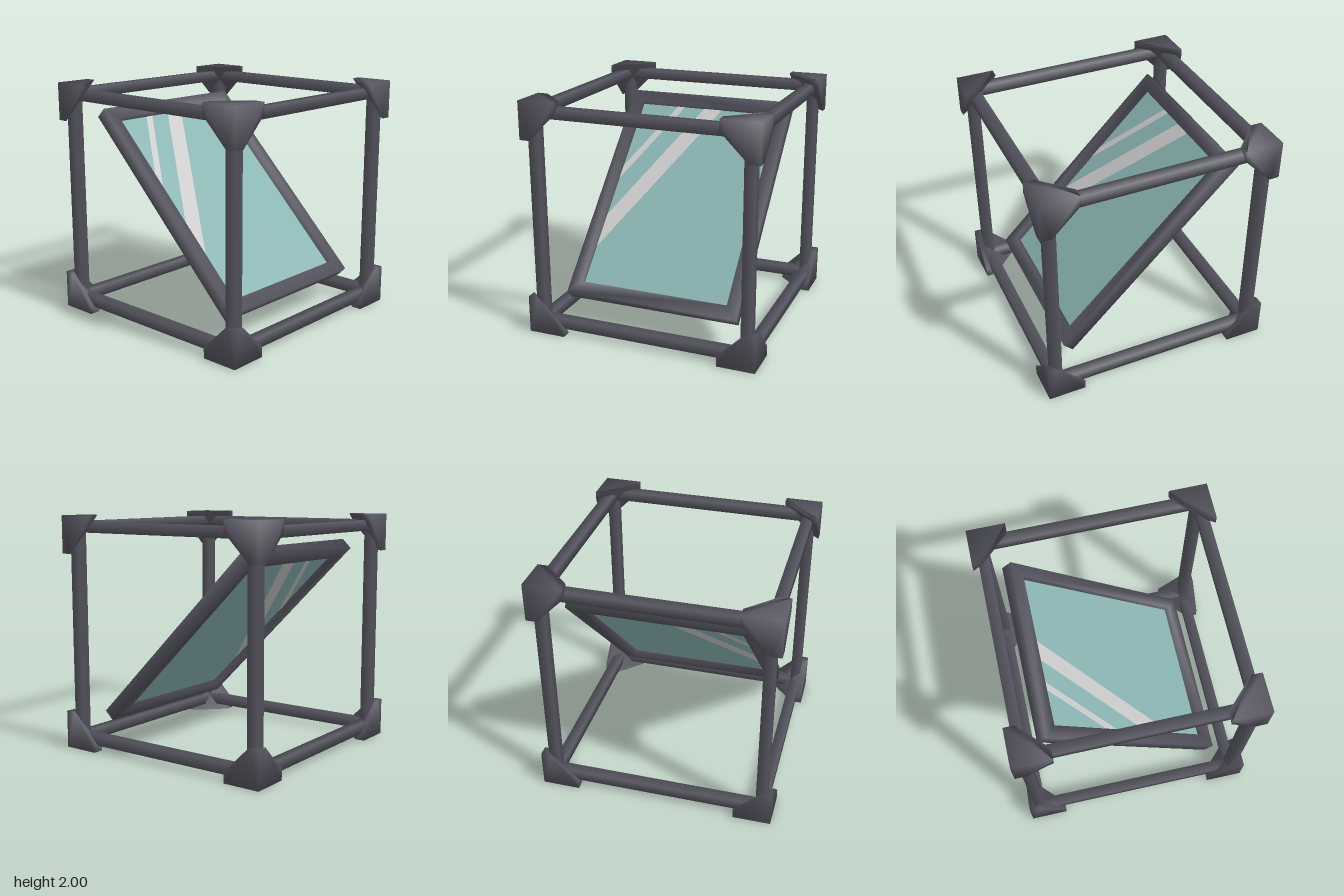
import * as THREE from 'three';
import { mergeVertices } from 'three/addons/utils/BufferGeometryUtils.js';
import { ConvexGeometry } from 'three/addons/geometries/ConvexGeometry.js';

const metal = new THREE.MeshStandardMaterial({ color: 0x55545f });
const glass = new THREE.MeshStandardMaterial({ color: 0x8ab5b3, side: THREE.DoubleSide });
const glint = new THREE.MeshStandardMaterial({ color: 0xc0bfbf, side: THREE.DoubleSide });

// Weld shared corners so the shading runs softly over the edges
function soften(geometry) {
  geometry.deleteAttribute('normal');
  geometry.deleteAttribute('uv');
  const welded = mergeVertices(geometry, 1e-4);
  welded.computeVertexNormals();
  return welded;
}

function add(parent, name, geometry, material = metal) {
  const mesh = new THREE.Mesh(geometry, material);
  mesh.name = name;
  parent.add(mesh);
  return mesh;
}

// Flat outline from [along the slope, z] points
const outline = (pts) => new THREE.Shape(pts.map(([u, z]) => new THREE.Vector2(u, -z)));
const rect = (u, z) => [[-u, z], [u, z], [u, -z], [-u, -z]];

export function createModel() {
  const model = new THREE.Group();
  const signs = [-1, 1];

  // Twelve square edge bars
  const cage = new THREE.Group();
  cage.name = 'cage';
  cage.position.y = 1;
  model.add(cage);
  const bar = new THREE.CylinderGeometry(0.0636, 0.0636, 1.78, 4, 1, true).rotateY(Math.PI / 4);
  const off = 0.905;
  for (const a of signs) for (const b of signs) {
    add(cage, 'uprightBar', bar).position.set(a * off, 0, b * off);
    const across = add(cage, 'crossBar', bar);
    across.rotation.z = Math.PI / 2;
    across.position.set(0, a * off, b * off);
    const deep = add(cage, 'depthBar', bar);
    deep.rotation.x = Math.PI / 2;
    deep.position.set(a * off, b * off, 0);
  }

  // Eight corner caps: three short legs joined by a sloping inner face
  const L = 0.32, T = 0.09;
  const offsets = [[0, 0, 0]];
  for (let i = 0; i < 3; i++) {
    for (const [j, k] of [[0, 0], [T, 0], [0, T]]) {
      const p = [0, 0, 0];
      p[i] = L;
      p[(i + 1) % 3] = j;
      p[(i + 2) % 3] = k;
      offsets.push(p);
    }
  }
  for (const x of signs) for (const y of signs) for (const z of signs) {
    const pts = offsets.map((p) =>
      new THREE.Vector3(x * (1 - p[0]), y * (1 - p[1]), z * (1 - p[2])));
    add(cage, 'cornerCap', soften(new ConvexGeometry(pts)));
  }

  // Tilted framed pane
  const pane = new THREE.Group();
  pane.name = 'tiltedPane';
  pane.position.set(-0.005, 1.005, 0);
  pane.rotation.z = -Math.PI / 4;
  model.add(pane);

  const U = 0.927, Z = 0.655, thick = 0.11;
  const ring = outline(rect(1.04, 0.76));
  ring.holes.push(outline(rect(U, Z)));
  const frame = new THREE.ExtrudeGeometry(ring, { depth: thick, bevelEnabled: false });
  frame.translate(0, 0, -thick / 2).rotateX(-Math.PI / 2);
  add(pane, 'paneFrame', soften(frame));

  const sheet = (pts) => new THREE.ShapeGeometry(outline(pts)).rotateX(-Math.PI / 2);
  add(pane, 'glass', sheet(rect(U, Z)), glass);

  // Two diagonal glints, shown on both faces of the glass
  const glints = [
    [[0.25, Z], [-U, 0.05], [-U, -0.12], [0.57, Z]],
    [[-0.25, Z], [-U, 0.31], [-U, 0.24], [-0.12, Z]],
  ];
  for (const pts of glints) for (const s of signs) {
    add(pane, 'glint', sheet(pts), glint).position.y = s * 0.003;
  }
  return model;
}
